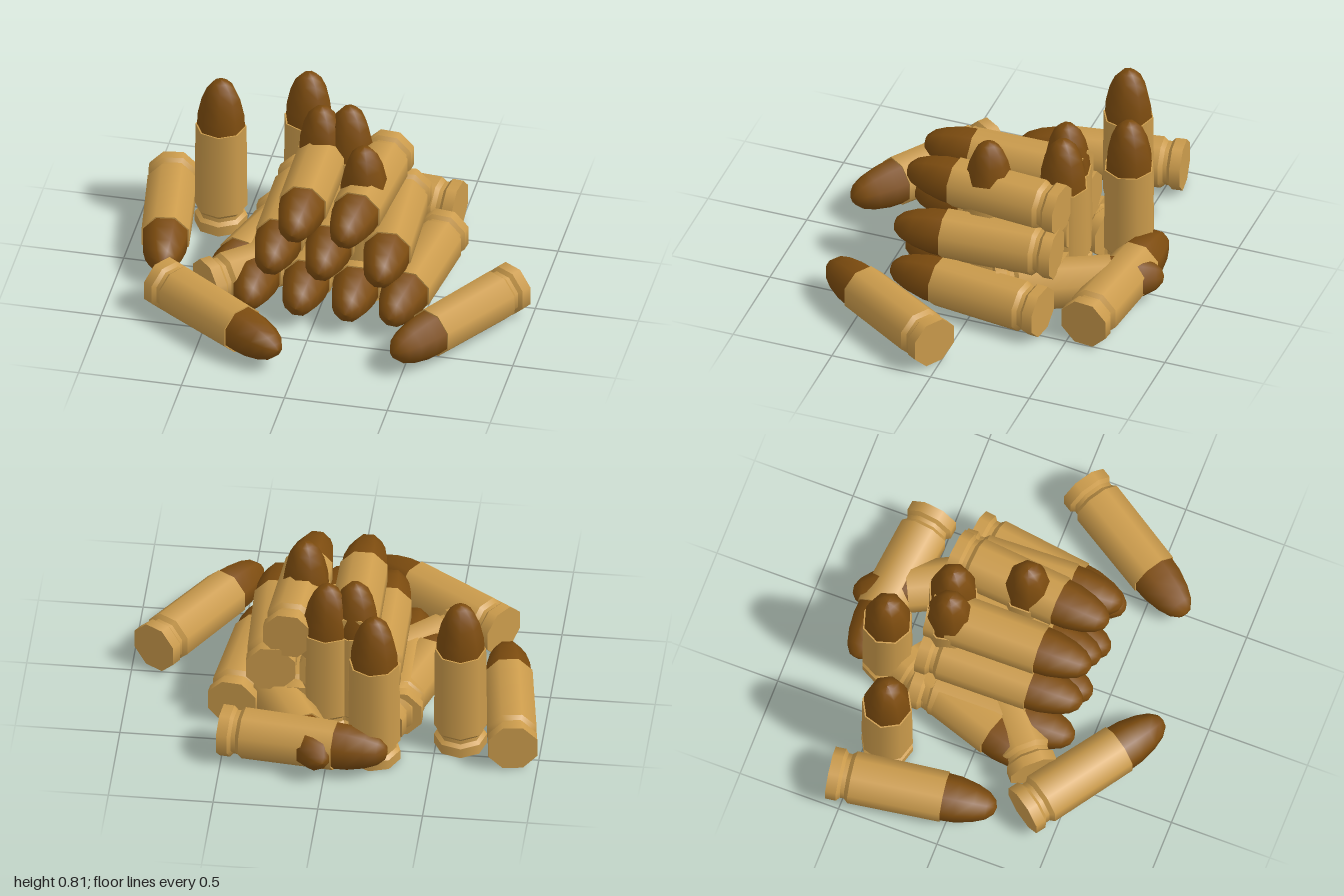
import * as THREE from 'three';
import { mergeGeometries } from 'three/addons/utils/BufferGeometryUtils.js';

const SIDES = 8;
const lathe = (pts) => new THREE.LatheGeometry(
  pts.map(([r, y]) => new THREE.Vector2(r, y)), SIDES, Math.PI / 8);

// Brass case: one lathe per profile segment keeps the ring edges sharp
function caseGeometry() {
  const profile = [[0, 0], [0.126, 0], [0.126, 0.052], [0.108, 0.068],
    [0.108, 0.088], [0.126, 0.108], [0.122, 0.555], [0.113, 0.555]];
  return mergeGeometries(profile.slice(1).map((p, i) => lathe([profile[i], p])));
}

// Rounded bullet with a smooth ogive
function bulletGeometry() {
  return lathe([[0.115, 0.55], [0.111, 0.62], [0.092, 0.705],
    [0.067, 0.765], [0.035, 0.8], [0, 0.81]]);
}

export function createModel() {
  const brass = new THREE.MeshStandardMaterial({ color: 0xcc9c4c });
  brass.name = 'brass';
  const copper = new THREE.MeshStandardMaterial({ color: 0x7d4c0f });
  copper.name = 'dark copper';
  const caseGeo = caseGeometry();
  const bulletGeo = bulletGeometry();
  const model = new THREE.Group();
  model.name = 'cartridgePile';

  function cartridge(name) {
    const group = new THREE.Group();
    group.name = name;
    const shell = new THREE.Mesh(caseGeo, brass);
    shell.name = 'case';
    const bullet = new THREE.Mesh(bulletGeo, copper);
    bullet.name = 'bullet';
    group.add(shell, bullet);
    model.add(group);
    return group;
  }

  // Lying cartridge: base centre, height of its axis, and a point it aims at
  function lying(name, y, bx, bz, tx, tz) {
    const c = cartridge(name);
    c.position.set(bx, y, bz);
    c.rotation.set(Math.PI / 2, Math.atan2(tx - bx, tz - bz), 0, 'YXZ');
  }

  // Stacked rows: [height, [base x, tip x]...]
  const rows = [
    [0.125, [-0.31, -0.31], [-0.07, -0.07], [0.17, 0.17], [0.48, 0.38]],
    [0.34, [-0.205, -0.205], [0.04, 0.04], [0.295, 0.33]],
    [0.54, [-0.09, -0.09], [0.215, 0.15]],
  ];
  rows.forEach(([y, ...xs], row) => xs.forEach(([bx, tx], i) =>
    lying(`stackRow${row + 1}Cartridge${i + 1}`, y, bx, -0.375, tx, 0.435)));

  // Loose cartridges scattered on the ground: base x, z, tip x, z
  [
    [0.505, -0.59, -0.29, -0.685],
    [-0.885, -0.585, -0.77, 0.21],
    [-0.74, 0.335, -0.09, 0.785],
    [0.895, 0.02, 0.475, 0.69],
    [-0.535, 0.315, 0.06, -0.22],
    [-0.235, -0.45, -0.495, 0.31],
    [0.37, -0.09, 0.0, -0.81],
  ].forEach((p, i) => lying(`looseCartridge${i + 1}`, 0.125, ...p));

  // Standing cartridges: x, z, turn
  [
    [-0.615, -0.4, 0.5], [-0.22, -0.55, 0.3], [-0.1, -0.28, 0.2],
    [0.03, -0.31, 0.4], [0.17, 0.015, 0],
  ].forEach(([x, z, turn], i) => {
    const c = cartridge(`standingCartridge${i + 1}`);
    c.position.set(x, 0, z);
    c.rotation.y = turn;
  });

  return model;
}
